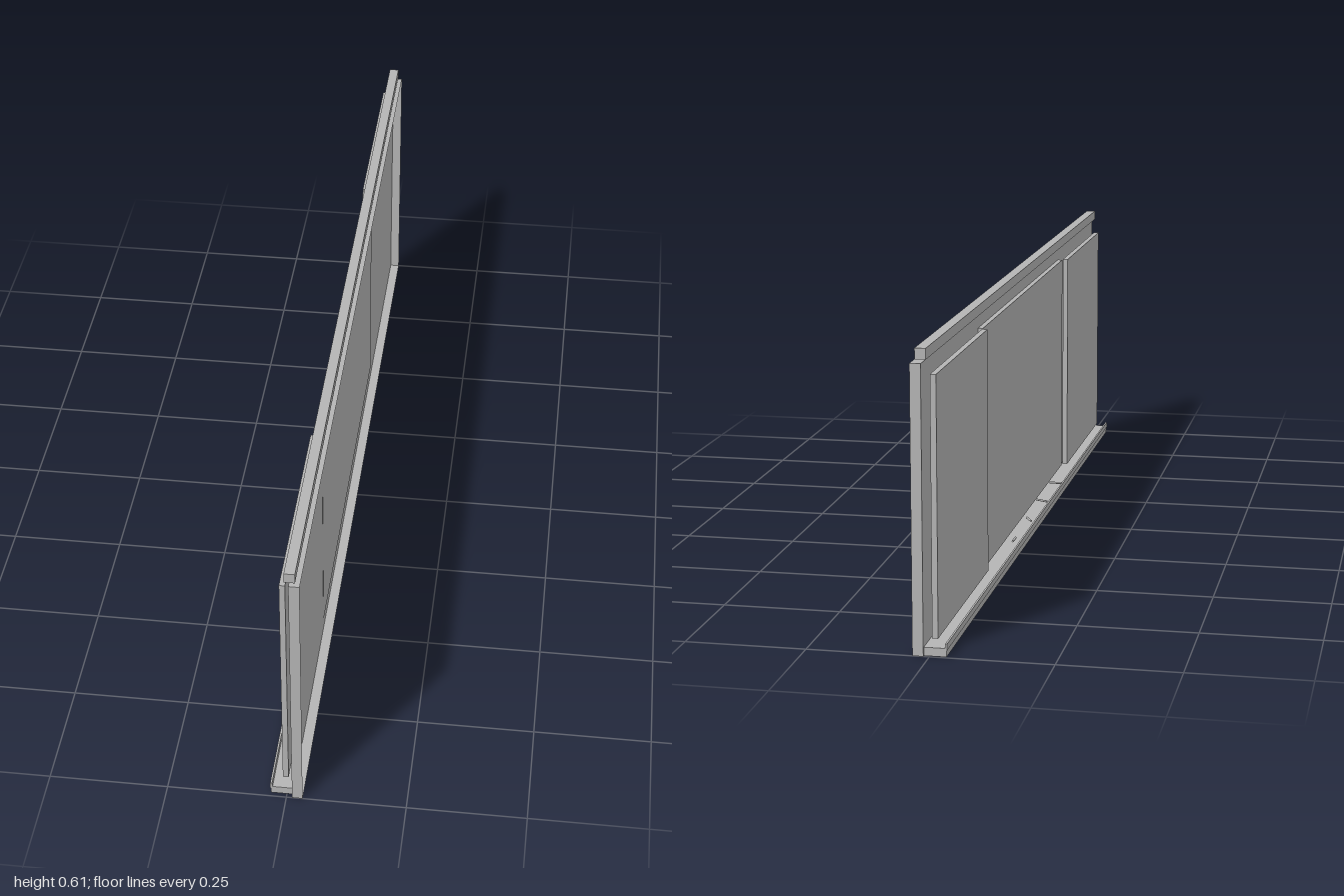
import * as THREE from 'three';

export function createModel() {
  const group = new THREE.Group();
  const grey = new THREE.MeshStandardMaterial({ color: 0xb4b4b4, side: THREE.DoubleSide });
  grey.name = 'plain grey';

  const add = (name, geometry) => {
    const mesh = new THREE.Mesh(geometry, grey);
    mesh.name = name;
    group.add(mesh);
    return mesh;
  };
  // Box given by its lower and upper limits on each axis
  const box = (name, [x0, x1], [y0, y1], [z0, z1]) => {
    const mesh = add(name, new THREE.BoxGeometry(x1 - x0, y1 - y0, z1 - z0));
    mesh.position.set((x0 + x1) / 2, (y0 + y1) / 2, (z0 + z1) / 2);
    return mesh;
  };

  // Backing board: a shallow shell left open on its +x side
  const backing = box('backingBoard', [0.012, 0.034], [0, 0.584], [-1, 1]);
  const shell = backing.geometry;
  shell.setIndex(Array.from(shell.index.array).slice(6));
  shell.clearGroups();

  // Rail above the board
  box('topRail', [0.003, 0.025], [0.591, 0.613], [-0.995, 0.997]);

  // Writing panels: the centre one sits behind the two sliding side ones
  box('centrePanel', [0.001, 0.0124], [0.028, 0.558], [-0.48, 0.48]);
  for (const s of [-1, 1]) {
    const z = [0.49 * s, 0.97 * s].sort((a, b) => a - b);
    box(s > 0 ? 'frontSidePanel' : 'rearSidePanel', [-0.011, 0.001], [0.028, 0.558], z);
  }

  // Tray with a raised, slightly flared lip
  const profile = new THREE.Shape([
    [0.012, 0], [0.012, 0.0175], [-0.03, 0.0175], [-0.031, 0.027],
    [-0.035, 0.027], [-0.035, 0.014], [-0.0335, 0.012], [-0.0335, 0],
  ].map(([x, y]) => new THREE.Vector2(x, y)));
  const tray = add('tray', new THREE.ExtrudeGeometry(profile, { depth: 1.985, bevelEnabled: false }));
  tray.position.z = -0.995;

  // Sticks of chalk, each turned differently: x, z, angle from the z axis
  const sticks = [[-0.015, -0.225, 0], [-0.015, -0.047, 0.5], [-0.013, 0.128, 1.1], [-0.015, 0.305, Math.PI / 2]];
  for (const [x, z, turn] of sticks) {
    const geometry = new THREE.CylinderGeometry(0.0025, 0.0025, 0.031, 12).rotateX(Math.PI / 2);
    const stick = add('chalkStick', geometry);
    stick.position.set(x, 0.025, z);
    stick.rotation.y = turn;
  }
  return group;
}
